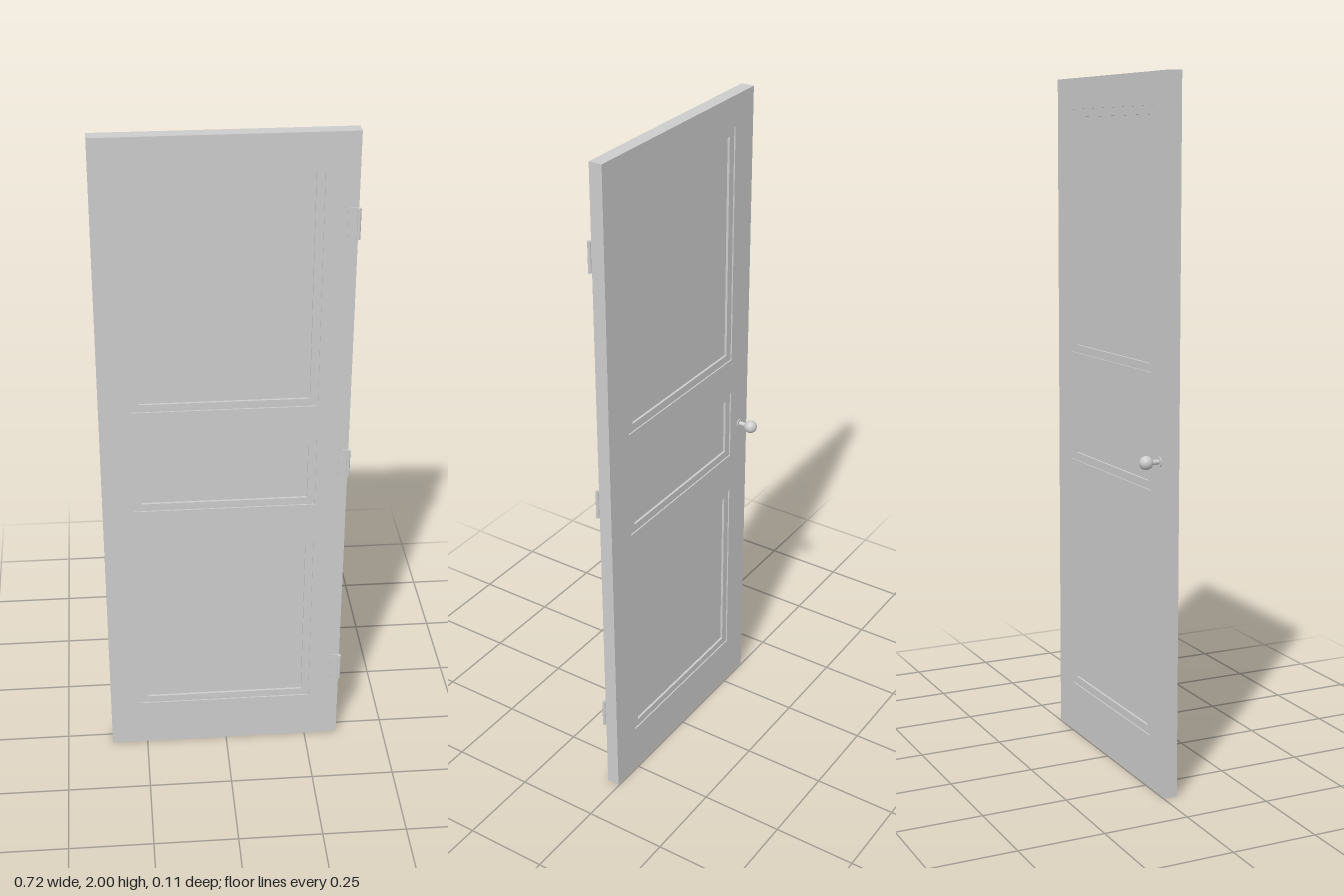
import * as THREE from 'three';

const material = new THREE.MeshStandardMaterial({ color: 0xcccccc });

const DOOR = { left: -0.36, right: 0.352, height: 2, back: 0.003, front: 0.042 };
const MID_Z = (DOOR.back + DOOR.front) / 2;
const THICK = DOOR.front - DOOR.back;
const MOULDING_STEP = 0.004; // depth of the moulding below the door face
const PANEL_STEP = 0.011;    // depth of the panel below the door face
const MOULDING_WIDTH = 0.023;

function add(parent, name, geometry, x = 0, y = 0, z = 0) {
  const mesh = new THREE.Mesh(geometry, material);
  mesh.name = name;
  mesh.position.set(x, y, z);
  parent.add(mesh);
  return mesh;
}

function rectangle(Type, x0, x1, y0, y1) {
  const r = new Type();
  r.moveTo(x0, y0);
  r.lineTo(x1, y0);
  r.lineTo(x1, y1);
  r.lineTo(x0, y1);
  r.closePath();
  return r;
}

function plate(shape, depth) {
  return new THREE.ExtrudeGeometry(shape, { depth, bevelEnabled: false })
    .translate(0, 0, MID_Z - depth / 2);
}

// Stiles and rails in one piece, with a stepped panel in each opening
function createLeaf() {
  const leaf = new THREE.Group();
  leaf.name = 'doorLeaf';
  const x0 = -0.268, x1 = 0.26;
  const openings = [
    ['lower', 0.154, 0.742],
    ['middle', 0.865, 1.084],
    ['upper', 1.194, 1.911],
  ];
  const frame = rectangle(THREE.Shape, DOOR.left, DOOR.right, 0, DOOR.height);
  for (const [label, y0, y1] of openings) {
    frame.holes.push(rectangle(THREE.Path, x0, x1, y0, y1));

    const m = MOULDING_WIDTH;
    const inner = [x0 + m, x1 - m, y0 + m, y1 - m];
    const moulding = rectangle(THREE.Shape, x0, x1, y0, y1);
    moulding.holes.push(rectangle(THREE.Path, ...inner));
    add(leaf, label + 'Moulding', plate(moulding, THICK - 2 * MOULDING_STEP));
    add(leaf, label + 'Panel', plate(rectangle(THREE.Shape, ...inner), THICK - 2 * PANEL_STEP));
  }
  add(leaf, 'frame', plate(frame, THICK));
  return leaf;
}

// Flat leaf on the front face with a round barrel at the corner
function createHinge(y) {
  const hinge = new THREE.Group();
  hinge.name = 'hinge';
  const height = 0.088;
  add(hinge, 'hingeLeaf', new THREE.BoxGeometry(0.028, height, 0.002), 0.338, 0, DOOR.front + 0.001);
  add(hinge, 'hingeBarrel', new THREE.CylinderGeometry(0.005, 0.005, height, 20), 0.3525, 0, 0.048);
  hinge.position.y = y;
  return hinge;
}

// Rose, neck and ball on the back face
function createKnob() {
  const knob = new THREE.Group();
  knob.name = 'knob';
  const rod = (r, length) => new THREE.CylinderGeometry(r, r, length, 32).rotateX(Math.PI / 2);
  add(knob, 'knobRose', rod(0.0145, 0.003), 0, 0, 0.0015);
  add(knob, 'knobNeck', rod(0.007, 0.03), 0, 0, -0.012);
  add(knob, 'knobBall', new THREE.SphereGeometry(0.0195, 32, 20), 0, 0, -0.038);
  knob.position.set(-0.318, 0.955, 0);
  return knob;
}

export function createModel() {
  const door = new THREE.Group();
  door.name = 'door';
  door.add(createLeaf());
  for (const y of [0.265, 1.005, 1.745]) door.add(createHinge(y));
  door.add(createKnob());
  return door;
}
